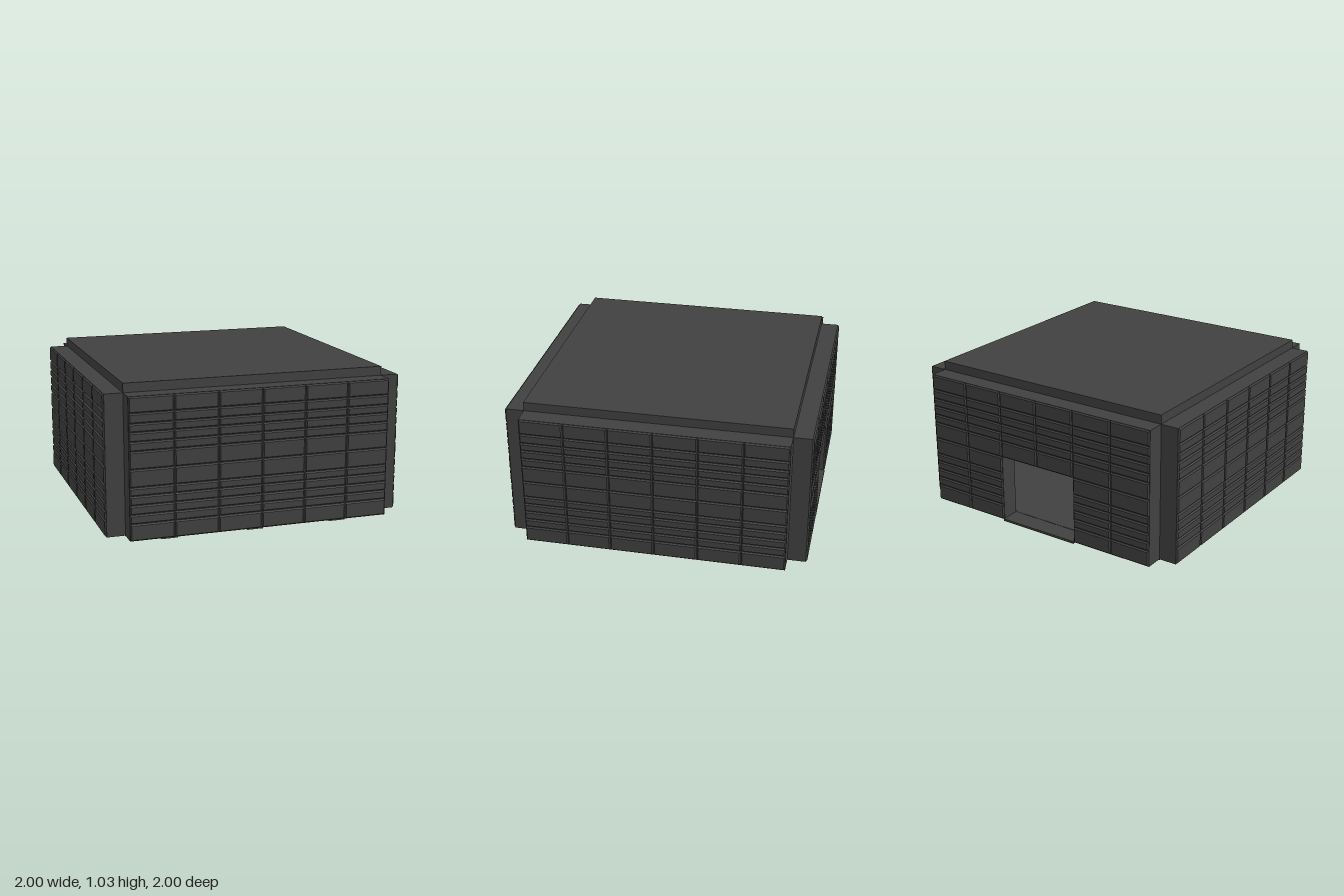
import * as THREE from 'three';
import { mergeGeometries } from 'three/addons/utils/BufferGeometryUtils.js';

const HALF = 0.87, BASE = 0.05, TOP = 0.97, DOOR_X = 0.29, DOOR_Y = 0.51;
const ROWS = [0.05, 0.16, 0.22, 0.28, 0.34, 0.395, 0.51, 0.625, 0.685, 0.745, 0.8, 0.865, 0.97];
const COLS = 6, RELIEF = 0.01;

// Bevelled cladding tile, its base on z = 0
function tile(x0, x1, y0, y1) {
  const g = new THREE.BoxGeometry(x1 - x0 - 0.004, y1 - y0 - 0.004, RELIEF).toNonIndexed();
  const p = g.attributes.position;
  for (let i = 0; i < p.count; i++) {
    if (p.getZ(i) > 0) {
      p.setX(i, p.getX(i) - Math.sign(p.getX(i)) * 0.007);
      p.setY(i, p.getY(i) - Math.sign(p.getY(i)) * 0.007);
    }
  }
  g.translate((x0 + x1) / 2, (y0 + y1) / 2, RELIEF / 2);
  g.computeVertexNormals();
  return g;
}

// Grid of tiles for one wall face, leaving the doorway free
function cladding(hasDoor) {
  const tiles = [];
  const w = (2 * HALF) / COLS;
  for (let c = 0; c < COLS; c++) {
    for (let r = 0; r < ROWS.length - 1; r++) {
      if (hasDoor && (c === 2 || c === 3) && ROWS[r] < DOOR_Y) continue;
      tiles.push(tile(-HALF + c * w, -HALF + (c + 1) * w, ROWS[r], ROWS[r + 1]));
    }
  }
  return mergeGeometries(tiles);
}

// Wall facing +z: thick core clad on both sides
function wall(name, hasDoor, material) {
  const group = new THREE.Group();
  group.name = name;
  const s = new THREE.Shape();
  s.moveTo(-HALF, BASE);
  if (hasDoor) {
    s.lineTo(-DOOR_X, BASE);
    s.lineTo(-DOOR_X, DOOR_Y);
    s.lineTo(DOOR_X, DOOR_Y);
    s.lineTo(DOOR_X, BASE);
  }
  s.lineTo(HALF, BASE);
  s.lineTo(HALF, TOP);
  s.lineTo(-HALF, TOP);
  const depth = 1 - RELIEF - HALF;
  const core = new THREE.Mesh(new THREE.ExtrudeGeometry(s, { depth, bevelEnabled: false }), material);
  core.name = 'wallCore';
  core.position.z = HALF;
  const outer = new THREE.Mesh(cladding(hasDoor), material);
  outer.name = 'outerCladding';
  outer.position.z = 1 - RELIEF;
  const inner = new THREE.Mesh(cladding(hasDoor), material);
  inner.name = 'innerCladding';
  inner.rotation.y = Math.PI;
  inner.position.z = HALF;
  group.add(core, outer, inner);
  return group;
}

export function createModel() {
  const model = new THREE.Group();
  model.name = 'cladShelter';
  const panelGrey = new THREE.MeshStandardMaterial({ color: 0x404040 });
  panelGrey.name = 'darkPanelGrey';
  const steel = new THREE.MeshStandardMaterial({ color: 0x808080 });
  steel.name = 'skidSteel';

  // Four walls, doorway at the back
  ['frontWall', 'leftWall', 'backWall', 'rightWall'].forEach((name, i) => {
    const w = wall(name, name === 'backWall', panelGrey);
    w.rotation.y = (i * Math.PI) / 2;
    model.add(w);
  });

  // Roof, floor and door threshold
  const slab = (name, w, d, y0, y1, z) => {
    const m = new THREE.Mesh(new THREE.BoxGeometry(w, y1 - y0, d), panelGrey);
    m.name = name;
    m.position.set(0, (y0 + y1) / 2, z);
    model.add(m);
  };
  slab('roof', 2 * HALF, 2 * HALF, 0.955, 1.03, 0);
  slab('floor', 2 * HALF, 2 * HALF, 0.044, 0.06, 0);
  slab('doorThreshold', 2 * DOOR_X, 0.13, 0.042, 0.058, -0.935);

  // Hollow skids running front to back
  const box = (path, x, y0, y1) => {
    path.moveTo(-x, y0);
    path.lineTo(x, y0);
    path.lineTo(x, y1);
    path.lineTo(-x, y1);
    path.closePath();
    return path;
  };
  const profile = box(new THREE.Shape(), 0.056, 0, 0.045);
  profile.holes.push(box(new THREE.Path(), 0.053, 0.003, 0.042));
  const skidGeometry = new THREE.ExtrudeGeometry(profile, { depth: 2 * HALF, bevelEnabled: false });
  for (const x of [-0.58, 0, 0.58]) {
    const skid = new THREE.Mesh(skidGeometry, steel);
    skid.name = 'skid';
    skid.position.set(x, 0, -HALF);
    model.add(skid);
  }
  return model;
}
